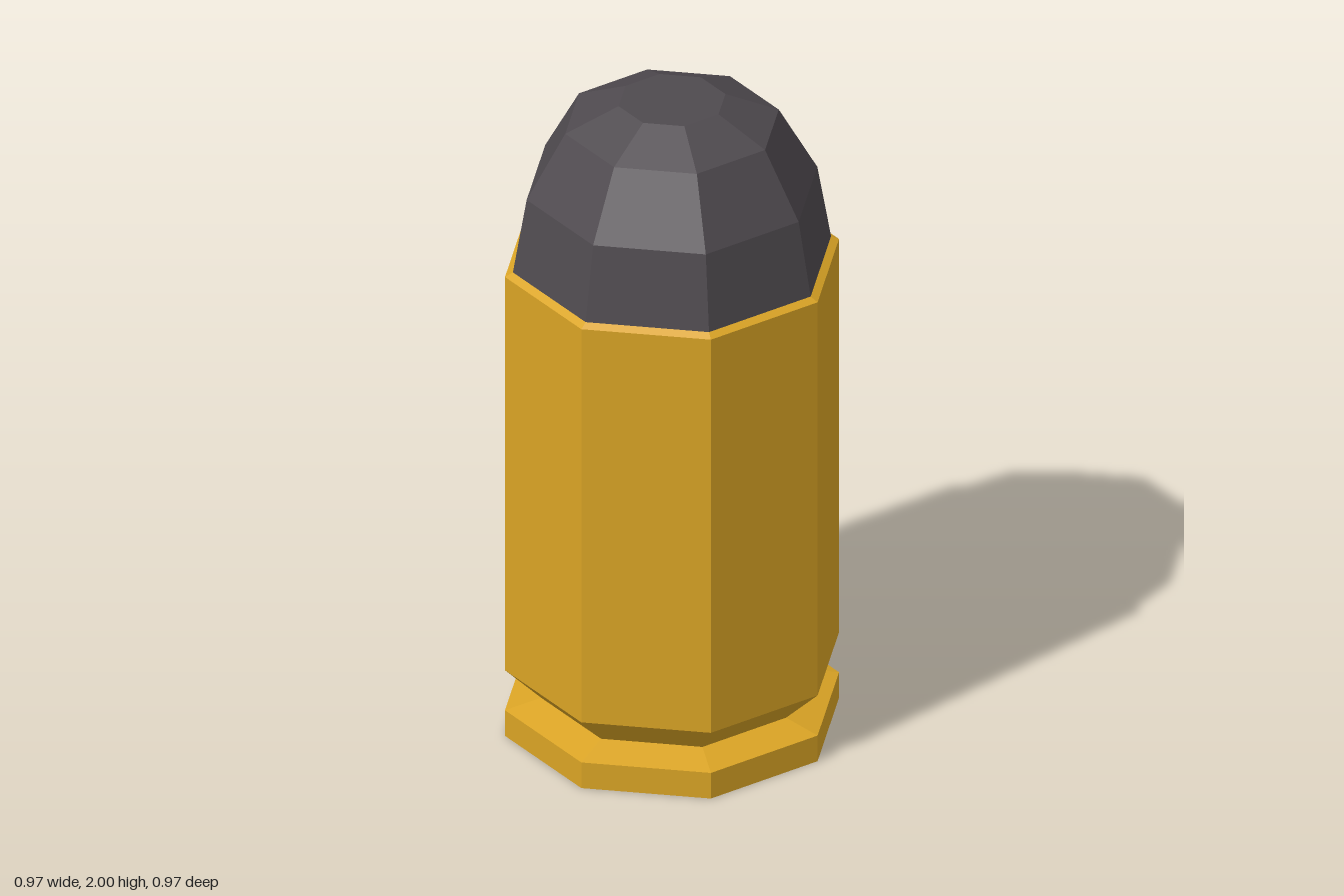
import * as THREE from 'three';

const SIDES = 8;

// Faceted solid of revolution; profile runs [radius, height] from bottom to top
function facetedLathe(name, profile, material) {
  const points = profile.map(([r, y]) => new THREE.Vector2(r, y));
  const geometry = new THREE.LatheGeometry(points, SIDES).toNonIndexed();
  geometry.computeVertexNormals();
  const mesh = new THREE.Mesh(geometry, material);
  mesh.name = name;
  return mesh;
}

export function createModel() {
  const brass = new THREE.MeshStandardMaterial({ color: 0xdaa425 });
  brass.name = 'brass';
  const lead = new THREE.MeshStandardMaterial({ color: 0x4f4a4f });
  lead.name = 'lead';
  const steel = new THREE.MeshStandardMaterial({ color: 0x949494 });
  steel.name = 'steel';

  const group = new THREE.Group();
  group.name = 'cartridge';

  // Casing: base ring, rim, extractor groove, straight wall and mouth lip
  group.add(facetedLathe('casing', [
    [0.225, 0], [0.485, 0], [0.485, 0.083], [0.38, 0.11],
    [0.485, 0.213], [0.485, 1.488], [0.462, 1.5],
  ], brass));

  // Rounded bullet tip with a flat top
  group.add(facetedLathe('bullet', [
    [0.462, 1.5], [0.422, 1.73], [0.31, 1.93], [0.155, 2], [0, 2],
  ], lead));

  // Primer disc, flush in the base and facing down
  const primer = new THREE.Mesh(new THREE.CircleGeometry(0.225, SIDES), steel);
  primer.rotation.x = Math.PI / 2;
  primer.name = 'primer';
  group.add(primer);

  return group;
}
